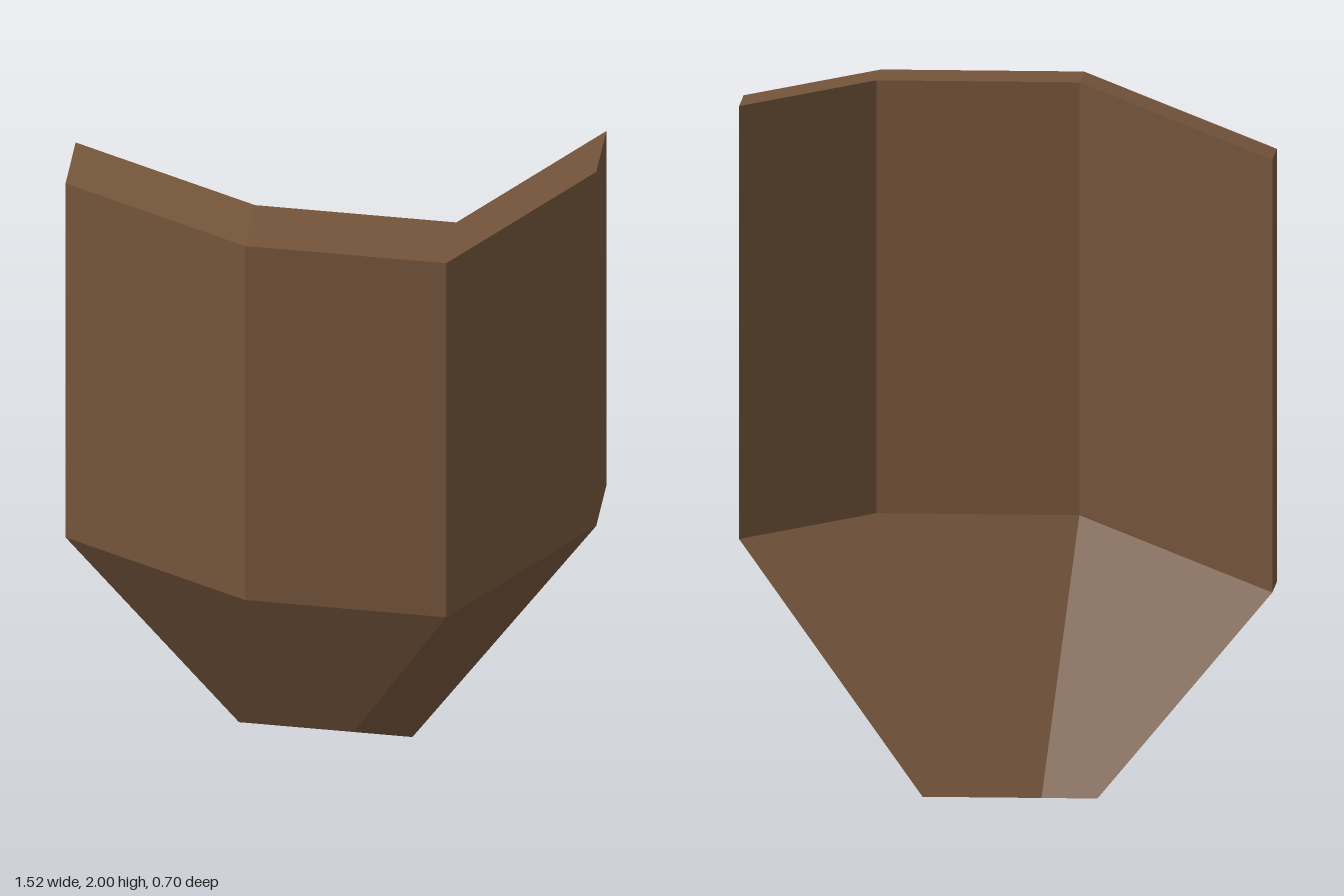
import * as THREE from 'three';

const DEPTH = 0.2; // thickness of the shell along z

// Key points of the front skin
const P = {
  topA: [-0.76, 1.85, -0.08], topB: [-0.18, 2, 0.35], topC: [0.4, 2, 0.35], topD: [0.76, 2, -0.15],
  midA: [-0.76, 0.6, -0.08], midB: [-0.18, 0.75, 0.35], midC: [0.4, 0.75, 0.35], midD: [0.76, 0.75, -0.15],
  footL: [-0.26, 0, -0.08], footH: [-0.1, 0, -0.08], footF: [0.07, 0, -0.08], footR: [0.24, 0, -0.08],
};
const front = (name) => new THREE.Vector3(...P[name]);
const back = (name) => front(name).setZ(P[name][2] - DEPTH);

// Fans each polygon from its first corner, with one shared normal per polygon
function polygonMesh(name, polygons, material) {
  const positions = [], normals = [];
  for (const poly of polygons) {
    const normal = new THREE.Vector3();
    const tris = [];
    for (let i = 1; i < poly.length - 1; i++) {
      const [a, b, c] = [poly[0], poly[i], poly[i + 1]];
      normal.add(b.clone().sub(a).cross(c.clone().sub(a)));
      tris.push(a, b, c);
    }
    normal.normalize();
    for (const v of tris) {
      positions.push(v.x, v.y, v.z);
      normals.push(normal.x, normal.y, normal.z);
    }
  }
  const geometry = new THREE.BufferGeometry();
  geometry.setAttribute('position', new THREE.Float32BufferAttribute(positions, 3));
  geometry.setAttribute('normal', new THREE.Float32BufferAttribute(normals, 3));
  const mesh = new THREE.Mesh(geometry, material);
  mesh.name = name;
  return mesh;
}

export function createModel() {
  const group = new THREE.Group();
  group.name = 'foldedPlate';
  const brown = new THREE.MeshStandardMaterial({ color: 0x73543a });
  brown.name = 'brown';

  // Three upright panels, listed counter-clockwise from the front
  const panels = [['A', 'B'], ['B', 'C'], ['C', 'D']]
    .map(([l, r]) => ['mid' + l, 'mid' + r, 'top' + r, 'top' + l]);

  // Outer skin: upright panels and the tapering lower faces
  const outer = [
    ...panels,
    ['footL', 'footF', 'midC', 'midB', 'midA'],
    ['footR', 'midD', 'midC', 'footF'],
  ].map((poly) => poly.map(front));
  group.add(polygonMesh('outerSkin', outer, brown));

  // Inner skin: same panels turned round, with its own lower fold
  const inner = [
    ...panels.map((poly) => [...poly].reverse()),
    ['footR', 'footH', 'midB', 'midC', 'midD'],
    ['footL', 'midA', 'midB', 'footH'],
  ].map((poly) => poly.map(back));
  group.add(polygonMesh('innerSkin', inner, brown));

  // Rim closing the thickness all the way round
  const loop = ['footL', 'footR', 'midD', 'topD', 'topC', 'topB', 'topA', 'midA'];
  const rim = loop.map((p, i) => {
    const q = loop[(i + 1) % loop.length];
    return [front(p), back(p), back(q), front(q)];
  });
  group.add(polygonMesh('rim', rim, brown));

  return group;
}
